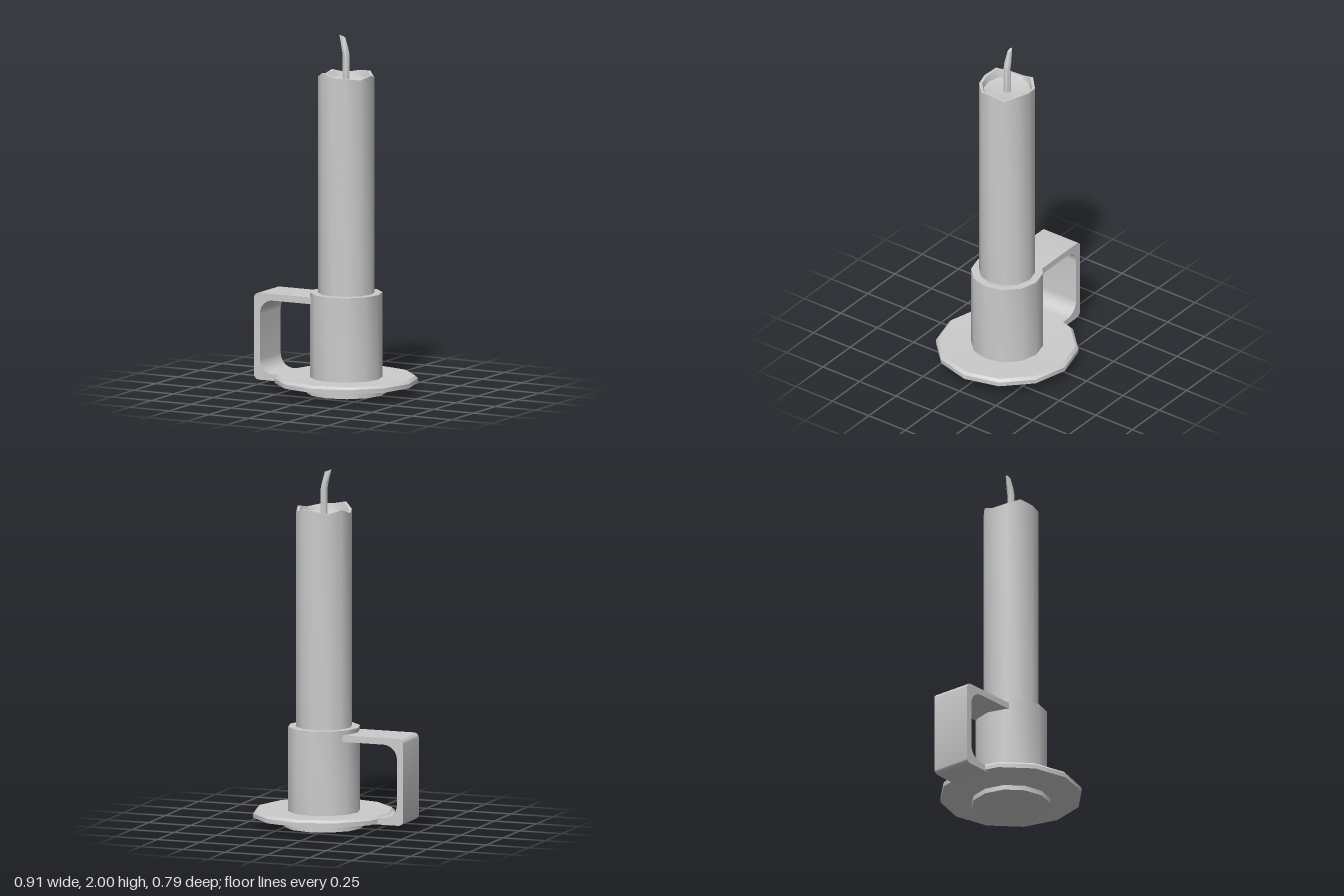
import * as THREE from 'three';
import { toCreasedNormals } from 'three/addons/utils/BufferGeometryUtils.js';

const SIDES = 12;
const AXIS_X = 0.06; // the candle stands off-centre, opposite the handle

export function createModel() {
  const group = new THREE.Group();
  const material = new THREE.MeshStandardMaterial({ color: 0xcccccc });

  const add = (name, geometry, x = 0) => {
    const mesh = new THREE.Mesh(toCreasedNormals(geometry, 0.62), material);
    mesh.name = name;
    mesh.position.x = x;
    group.add(mesh);
    return mesh;
  };
  const lathe = (profile) =>
    new THREE.LatheGeometry(profile.map(([r, y]) => new THREE.Vector2(r, y)), SIDES);

  // Saucer with a low foot
  add('saucer', lathe([
    [0, 0], [0.22, 0], [0.22, 0.028], [0.395, 0.056],
    [0.395, 0.08], [0.38, 0.095], [0.18, 0.088],
  ]), AXIS_X);

  // Cup that grips the candle
  add('cup', lathe([[0.2, 0.07], [0.2, 0.56], [0.14, 0.56]]), AXIS_X);

  // Candle with a hollow, unevenly melted rim
  const candleProfile = [
    [0.155, 0.5], [0.155, 1.78], [0.139, 1.78], [0.13, 1.745], [0.1, 1.737], [0, 1.735],
  ];
  const rim = [1.78, 1.775, 1.765, 1.782, 1.76, 1.785, 1.78, 1.765, 1.785, 1.757, 1.768, 1.797];
  const candle = lathe(candleProfile);
  for (let i = 0; i <= SIDES; i++) {
    for (const j of [1, 2]) {
      candle.attributes.position.setY(i * candleProfile.length + j, rim[i % SIDES]);
    }
  }
  add('candle', candle, AXIS_X);

  // Bent wick: each ring gets a centre, height, tilt and depth
  const rings = [
    { x: 0.036, y: 1.987, tilt: -0.4, depth: 0.45 },
    { x: 0.052, y: 1.925, tilt: -0.25, depth: 1 },
    { x: 0.06, y: 1.885, tilt: 0, depth: 1 },
    { x: 0.06, y: 1.73, tilt: 0, depth: 1 },
  ];
  const wick = new THREE.CylinderGeometry(0.02, 0.02, 3, 8, 3);
  const p = wick.attributes.position;
  for (let i = 0; i < p.count; i++) {
    const ring = rings[Math.round(1.5 - p.getY(i))];
    const dx = p.getX(i);
    p.setXYZ(i, ring.x + dx, ring.y + dx * ring.tilt, p.getZ(i) * ring.depth);
  }
  add('wick', wick);

  // Flat strap handle, rounded at its outer corners
  const [left, top, bottom, t] = [-0.455, 0.535, 0.05, 0.037];
  const [ro, ri] = [0.03, 0.08];
  const strap = new THREE.Shape();
  strap.moveTo(-0.09, top);
  strap.lineTo(left + ro, top);
  strap.absarc(left + ro, top - ro, ro, Math.PI / 2, Math.PI, false);
  strap.lineTo(left, bottom + ro);
  strap.absarc(left + ro, bottom + ro, ro, Math.PI, Math.PI * 1.5, false);
  strap.lineTo(-0.24, bottom);
  strap.lineTo(-0.24, bottom + t);
  strap.lineTo(left + t + ri, bottom + t);
  strap.absarc(left + t + ri, bottom + t + ri, ri, Math.PI * 1.5, Math.PI, true);
  strap.lineTo(left + t, top - t - ri);
  strap.absarc(left + t + ri, top - t - ri, ri, Math.PI, Math.PI / 2, true);
  strap.lineTo(-0.09, top - t);
  const handle = new THREE.ExtrudeGeometry(strap, {
    depth: 0.236, bevelEnabled: false, curveSegments: 5,
  });
  handle.translate(0, 0, -0.118);
  add('handle', handle);

  return group;
}
